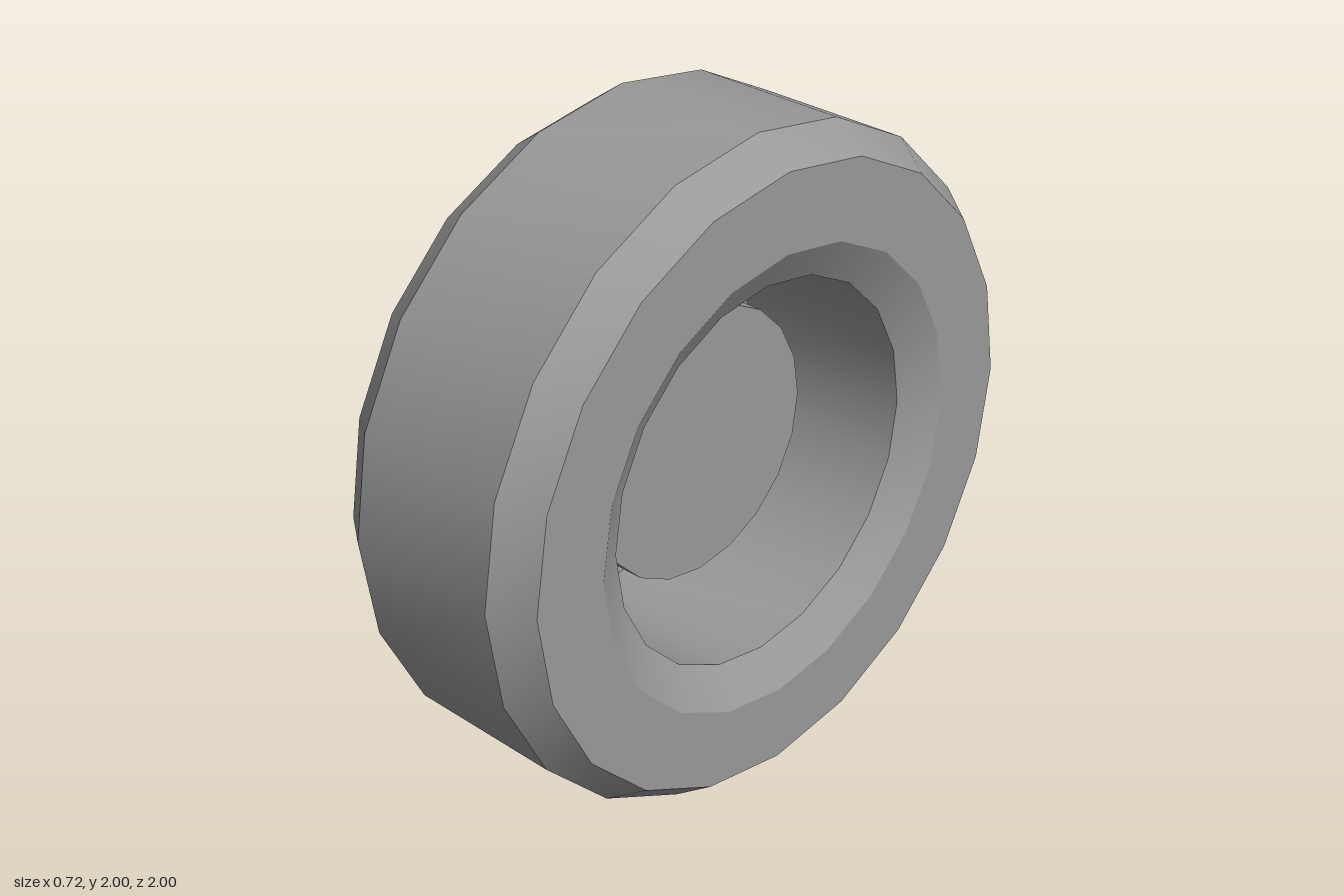
import * as THREE from 'three';
import { mergeGeometries, toCreasedNormals } from 'three/addons/utils/BufferGeometryUtils.js';

const SIDES = 20;
const STEP = (Math.PI * 2) / SIDES;
const material = new THREE.MeshStandardMaterial({ color: 0x999999 });
const thinMaterial = new THREE.MeshStandardMaterial({ color: 0x999999, side: THREE.DoubleSide });

// Revolve [radius, x] pairs around the axle (x axis)
function revolve(name, profile, mat = material) {
  const points = profile.map(([r, x]) => new THREE.Vector2(r, x));
  const geometry = new THREE.LatheGeometry(points, SIDES).rotateZ(-Math.PI / 2);
  const mesh = new THREE.Mesh(toCreasedNormals(geometry, 0.45), mat);
  mesh.name = name;
  return mesh;
}

// Shallow cone of flat wedges; every fifth wedge has a tapered vent slot
function wheelPlate(inner, outer, xInner, xOuter) {
  const c = Math.cos(STEP / 2), s = Math.sin(STEP / 2);
  const rim = (r, a) => new THREE.Vector2(r * Math.cos(a), r * Math.sin(a));
  const slot = [[0.36, 0.04], [0.37, 0.031], [0.52, 0.034], [0.533, 0.047],
    [0.527, 0.125], [0.515, 0.132], [0.37, 0.087], [0.36, 0.077]];
  const wedges = [];
  for (let i = 0; i < SIDES; i++) {
    const shape = new THREE.Shape([rim(inner, 0), rim(outer, 0), rim(outer, STEP), rim(inner, STEP)]);
    if (i % 5 === 0) shape.holes.push(new THREE.Path(slot.map(([a, b]) => new THREE.Vector2(a, b))));
    const wedge = new THREE.ShapeGeometry(shape);
    const pos = wedge.attributes.position;
    for (let j = 0; j < pos.count; j++) {
      const a = pos.getX(j), b = pos.getY(j);
      const t = ((a * c + b * s) / c - inner) / (outer - inner);
      pos.setXYZ(j, xInner + (xOuter - xInner) * t, a, -b);
    }
    wedges.push(wedge.rotateX(-i * STEP));
  }
  const mesh = new THREE.Mesh(toCreasedNormals(mergeGeometries(wedges), 0.45), thinMaterial);
  mesh.name = 'wheelPlate';
  return mesh;
}

export function createModel() {
  const model = new THREE.Group();
  model.name = 'wheel';
  const assembly = new THREE.Group();
  assembly.name = 'wheelAssembly';
  assembly.position.y = 1;
  model.add(assembly);

  // Tyre with bevelled shoulders, and the straight rim barrel inside it
  assembly.add(revolve('tyreAndRim', [
    [0.575, -0.283], [0.69, -0.354], [0.924, -0.354], [1, -0.244], [1, 0.25],
    [0.924, 0.36], [0.69, 0.36], [0.575, 0.289], [0.575, -0.283],
  ]));

  // Outer plate and its centre bore
  assembly.add(wheelPlate(0.19, 0.575, -0.34, -0.283));
  assembly.add(revolve('centreBore', [[0.19, -0.34], [0.19, -0.235]], thinMaterial));

  // Drum behind the plate
  assembly.add(revolve('hubDrum', [[0, -0.235], [0.413, -0.235], [0.413, 0.048], [0, 0.048]]));

  // Ring of hexagonal wheel nuts
  const nuts = new THREE.Group();
  nuts.name = 'wheelNuts';
  const nutGeometry = toCreasedNormals(
    new THREE.CylinderGeometry(0.036, 0.036, 0.036, 6).rotateZ(Math.PI / 2), 0.45);
  for (let i = 0; i < 8; i++) {
    const angle = (i * Math.PI) / 4 - 0.18;
    const nut = new THREE.Mesh(nutGeometry, material);
    nut.name = 'wheelNut';
    nut.position.set(-0.342, 0.257 * Math.sin(angle), 0.257 * Math.cos(angle));
    nut.rotation.x = -angle;
    nuts.add(nut);
  }
  assembly.add(nuts);

  return model;
}
